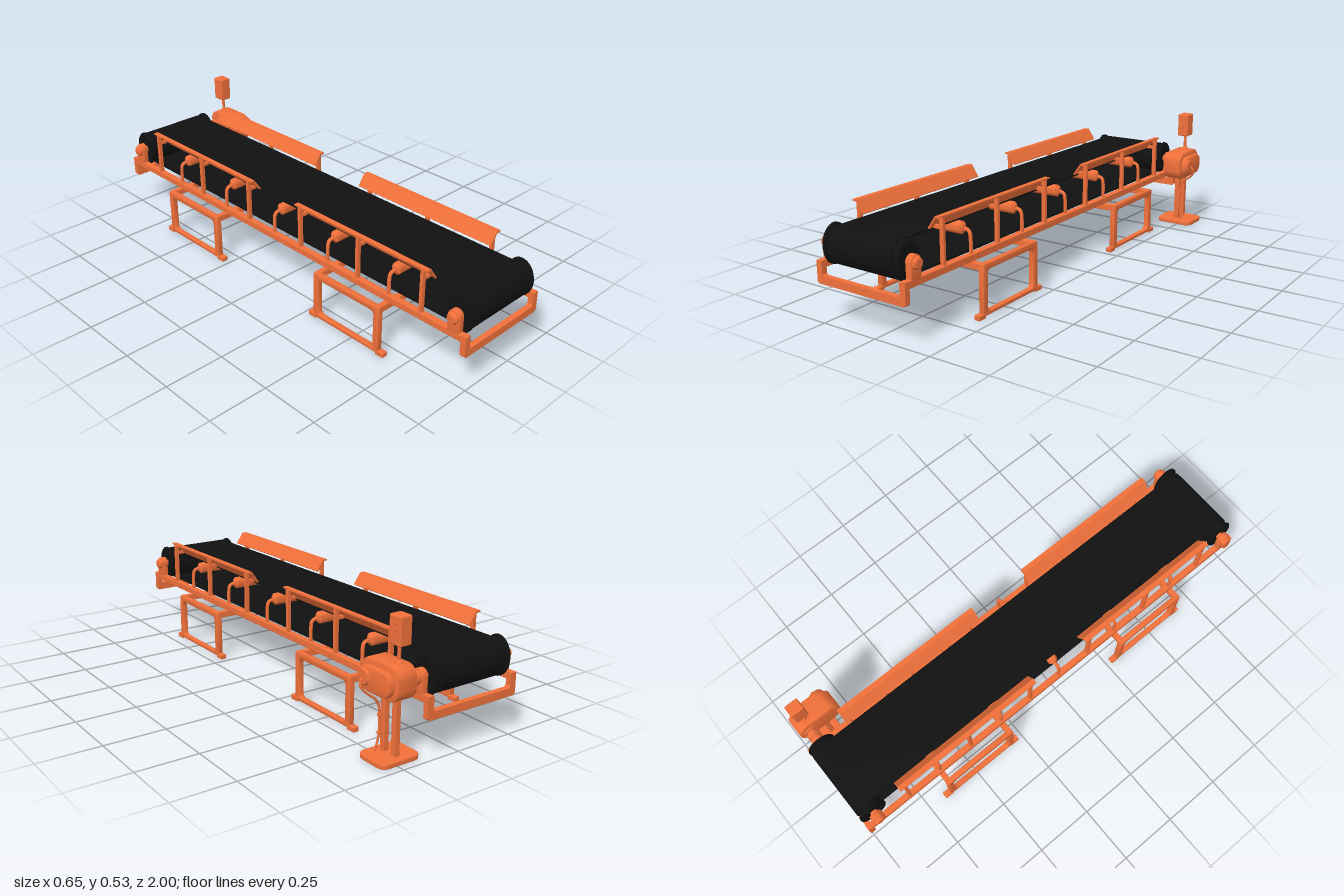
import * as THREE from 'three';
import { RoundedBoxGeometry } from 'three/addons/geometries/RoundedBoxGeometry.js';
import { toCreasedNormals } from 'three/addons/utils/BufferGeometryUtils.js';

const orange = new THREE.MeshStandardMaterial({ color: 0xf0703a });
const black = new THREE.MeshStandardMaterial({ color: 0x111111 });

function add(parent, name, geo, mat = orange) {
  const m = new THREE.Mesh(geo, mat);
  m.name = name;
  parent.add(m);
  return m;
}

// Softly chamfered box given by its limits
function bar(parent, name, x0, x1, y0, y1, z0, z1, r = 0.003) {
  const [a, b] = [Math.min(x0, x1), Math.max(x0, x1)];
  const g = new RoundedBoxGeometry(b - a, y1 - y0, z1 - z0, 2, r);
  g.translate((a + b) / 2, (y0 + y1) / 2, (z0 + z1) / 2);
  return add(parent, name, g);
}

// Revolved [radius, position] profile whose axis lies along x
function turnedX(parent, name, profile, y, z, mat = orange, zScale = 1) {
  let g = new THREE.LatheGeometry(profile.map(([r, x]) => new THREE.Vector2(r, x)), 32);
  g = toCreasedNormals(g, 0.5);
  g.rotateZ(-Math.PI / 2).scale(1, 1, zScale).translate(0, y, z);
  return add(parent, name, g, mat);
}

// Shape drawn in (z, y), extruded between two x limits
function plateX(parent, name, shape, x0, x1, bevel = 0, mat = orange) {
  const [a, b] = [Math.min(x0, x1), Math.max(x0, x1)];
  const g = new THREE.ExtrudeGeometry(shape, {
    depth: b - a - 2 * bevel, bevelEnabled: bevel > 0, bevelSize: bevel,
    bevelThickness: bevel, bevelOffset: -bevel, bevelSegments: 2, curveSegments: 16,
  });
  g.rotateY(-Math.PI / 2).translate(b - bevel, 0, 0);
  return add(parent, name, toCreasedNormals(g, 0.5), mat);
}

function roundRect(x0, x1, y0, y1, r, Type = THREE.Shape) {
  const s = new Type();
  s.absarc(x1 - r, y0 + r, r, -Math.PI / 2, 0);
  s.absarc(x1 - r, y1 - r, r, 0, Math.PI / 2);
  s.absarc(x0 + r, y1 - r, r, Math.PI / 2, Math.PI);
  s.absarc(x0 + r, y0 + r, r, Math.PI, Math.PI * 1.5);
  s.closePath();
  return s;
}

function polygon(points) {
  return new THREE.Shape(points.map(([x, y]) => new THREE.Vector2(x, y)));
}

function tube(parent, name, points, r) {
  const curve = new THREE.CatmullRomCurve3(points.map((p) => new THREE.Vector3(...p)));
  return add(parent, name, new THREE.TubeGeometry(curve, 40, r, 10));
}

const AXLE_Y = 0.293, DRUM_Z = 0.94;

function beltLoop(rz, ry, Type) {
  const s = new Type();
  s.absellipse(DRUM_Z, AXLE_Y, rz, ry, -Math.PI / 2, Math.PI / 2);
  s.absellipse(-DRUM_Z, AXLE_Y, rz, ry, Math.PI / 2, Math.PI * 1.5);
  s.closePath();
  return s;
}

function buildFrame(g) {
  for (const s of [-1, 1]) bar(g, 'sideRail', s * 0.185, s * 0.211, 0.21, 0.238, -0.99, 0.99);
  // U-shaped end frames
  const u = polygon([[-0.211, 0.238], [-0.211, 0.158], [-0.203, 0.15], [0.203, 0.15], [0.211, 0.158],
    [0.211, 0.238], [0.185, 0.238], [0.185, 0.188], [0.177, 0.181], [-0.177, 0.181], [-0.185, 0.188], [-0.185, 0.238]]);
  for (const z of [-1, 0.977]) {
    const geo = new THREE.ExtrudeGeometry(u, { depth: 0.023, bevelEnabled: false });
    add(g, 'endFrame', geo.translate(0, 0, z));
  }
}

function buildDrums(g) {
  const half = [[0.069, 0.146], [0.069, 0.162], [0.074, 0.163], [0.078, 0.167], [0.078, 0.175],
    [0.074, 0.179], [0.05, 0.179], [0.045, 0.174], [0, 0.174]];
  const drum = [...half.map(([r, x]) => [r, -x]).reverse(), ...half];
  for (const z of [-DRUM_Z, DRUM_Z]) {
    turnedX(g, 'drum', drum, AXLE_Y, z, black, 0.76);
    turnedX(g, 'axle', [[0, -0.2], [0.015, -0.2], [0.015, 0.2], [0, 0.2]], AXLE_Y, z);
    for (const s of [-1, 1]) {
      // Round-topped bearing bracket and its end cap
      const b = new THREE.Shape();
      b.moveTo(z - 0.026, 0.23);
      b.lineTo(z + 0.026, 0.23);
      b.lineTo(z + 0.026, 0.297);
      b.absarc(z, 0.297, 0.026, 0, Math.PI);
      b.closePath();
      plateX(g, 'bearingBracket', b, s * 0.185, s * 0.211, 0.002);
      const cap = turnedX(g, 'bearingCap', [[0.024, 0], [0.024, 0.006], [0.019, 0.015], [0.01, 0.018], [0, 0.018]], AXLE_Y, z);
      cap.position.x = s * 0.21;
      if (s < 0) cap.rotation.y = Math.PI, cap.position.z = 2 * z;
    }
  }
  const loop = beltLoop(0.058, 0.073, THREE.Shape);
  loop.holes.push(beltLoop(0.051, 0.065, THREE.Path));
  plateX(g, 'belt', loop, -0.148, 0.148, 0, black);
}

function buildIdlers(g) {
  for (const z of [-0.63, -0.31, 0, 0.31, 0.63]) {
    turnedX(g, 'idlerRoller', [[0, -0.17], [0.013, -0.17], [0.025, -0.16], [0.025, 0.16], [0.013, 0.17], [0, 0.17]],
      0.329, z, orange, 0.85);
    for (const s of [-1, 1]) {
      tube(g, 'idlerBracket', [[s * 0.165, 0.327, z], [s * 0.182, 0.326, z], [s * 0.193, 0.318, z],
        [s * 0.197, 0.3, z], [s * 0.198, 0.235, z]], 0.0075);
    }
  }
}

function buildGuards(g) {
  for (const s of [-1, 1]) for (const e of [-1, 1]) {
    const zc = e * 0.472;
    const profile = polygon([[0.208, 0.415], [0.208, 0.421], [0.187, 0.421], [0.154, 0.373], [0.159, 0.369],
      [0.19, 0.413]].map(([x, y]) => [s * x, y]));
    const geo = new THREE.ExtrudeGeometry(profile, { depth: 0.68, bevelEnabled: false });
    add(g, 'guardPanel', geo.translate(0, 0, zc - 0.34));
    for (const d of [-0.315, 0, 0.315]) {
      bar(g, 'guardPost', s * 0.19, s * 0.208, 0.23, 0.418, zc + d - 0.007, zc + d + 0.007, 0.002);
      bar(g, 'guardArm', s * 0.162, s * 0.195, 0.369, 0.384, zc + d - 0.006, zc + d + 0.006, 0.002);
    }
  }
}

function buildLegs(g) {
  for (const e of [-1, 1]) {
    const zc = e * 0.472;
    for (const s of [-1, 1]) {
      const frame = roundRect(zc - 0.172, zc + 0.172, 0.008, 0.209, 0.008);
      frame.holes.push(roundRect(zc - 0.146, zc + 0.146, 0.022, 0.185, 0.018, THREE.Path));
      plateX(g, 'legFrame', frame, s * 0.242, s * 0.265, 0.002);
      for (const d of [-0.18, 0.18]) bar(g, 'foot', s * 0.24, s * 0.266, 0, 0.02, zc + d - 0.02, zc + d + 0.02);
    }
    for (const d of [-0.16, 0.16]) bar(g, 'legCrossbar', -0.26, 0.26, 0.183, 0.21, zc + d - 0.012, zc + d + 0.012);
  }
}

function buildDrive(g) {
  // Floor plate and twin posts
  const base = new THREE.ExtrudeGeometry(roundRect(0.147, 0.313, 0.834, 0.966, 0.025),
    { depth: 0.012, bevelSize: 0.004, bevelThickness: 0.004, bevelSegments: 2 });
  add(g, 'driveBase', base.rotateX(-Math.PI / 2).translate(0, 0.004, 0));
  for (const z of [-0.93, -0.872]) bar(g, 'drivePost', 0.218, 0.241, 0.015, 0.25, z - 0.011, z + 0.011);
  // Gearbox, cover and motor cap
  plateX(g, 'gearbox', roundRect(-0.985, -0.79, 0.23, 0.357, 0.045), 0.19, 0.275, 0.006);
  plateX(g, 'gearboxCover', roundRect(-0.97, -0.803, 0.245, 0.337, 0.04), 0.27, 0.298, 0.01);
  turnedX(g, 'motorCap', [[0.032, 0.29], [0.032, 0.298], [0.026, 0.306], [0, 0.306]], 0.295, -0.838);
  turnedX(g, 'coupling', [[0.022, 0.15], [0.022, 0.158], [0.027, 0.158], [0.027, 0.174], [0.02, 0.174], [0.02, 0.184],
    [0.03, 0.184], [0.03, 0.195]], AXLE_Y, -DRUM_Z);
  // Control box on its stalk
  const stalk = [[0.016, 0.355], [0.014, 0.362], [0.0065, 0.37], [0.0065, 0.425]];
  add(g, 'controlStalk', toCreasedNormals(new THREE.LatheGeometry(
    stalk.map(([r, y]) => new THREE.Vector2(r, y)), 20), 0.6).translate(0.229, 0, -0.933));
  bar(g, 'controlBox', 0.201, 0.253, 0.422, 0.527, -0.963, -0.904, 0.006);
  for (const y of [0.46, 0.478, 0.498]) {
    turnedX(g, 'controlButton', [[0.006, 0.25], [0.006, 0.256], [0, 0.256]], y, -0.933);
  }
  // Power cable with clips
  tube(g, 'powerCable', [[0.303, 0.292, -0.838], [0.317, 0.284, -0.842], [0.32, 0.265, -0.848], [0.3, 0.24, -0.855],
    [0.265, 0.212, -0.86], [0.248, 0.18, -0.861], [0.245, 0.14, -0.861], [0.246, 0.08, -0.861],
    [0.254, 0.045, -0.861], [0.265, 0.018, -0.861]], 0.0045);
  for (const y of [0.085, 0.15]) bar(g, 'cableClip', 0.238, 0.252, y - 0.005, y + 0.005, -0.87, -0.854, 0.002);
}

export function createModel() {
  const model = new THREE.Group();
  model.name = 'conveyor';
  const line = new THREE.Group();
  line.name = 'conveyorLine';
  line.position.x = -0.06;
  for (const build of [buildFrame, buildDrums, buildIdlers, buildGuards, buildLegs]) build(line);
  const drive = new THREE.Group();
  drive.name = 'driveUnit';
  buildDrive(drive);
  model.add(line, drive);
  return model;
}
